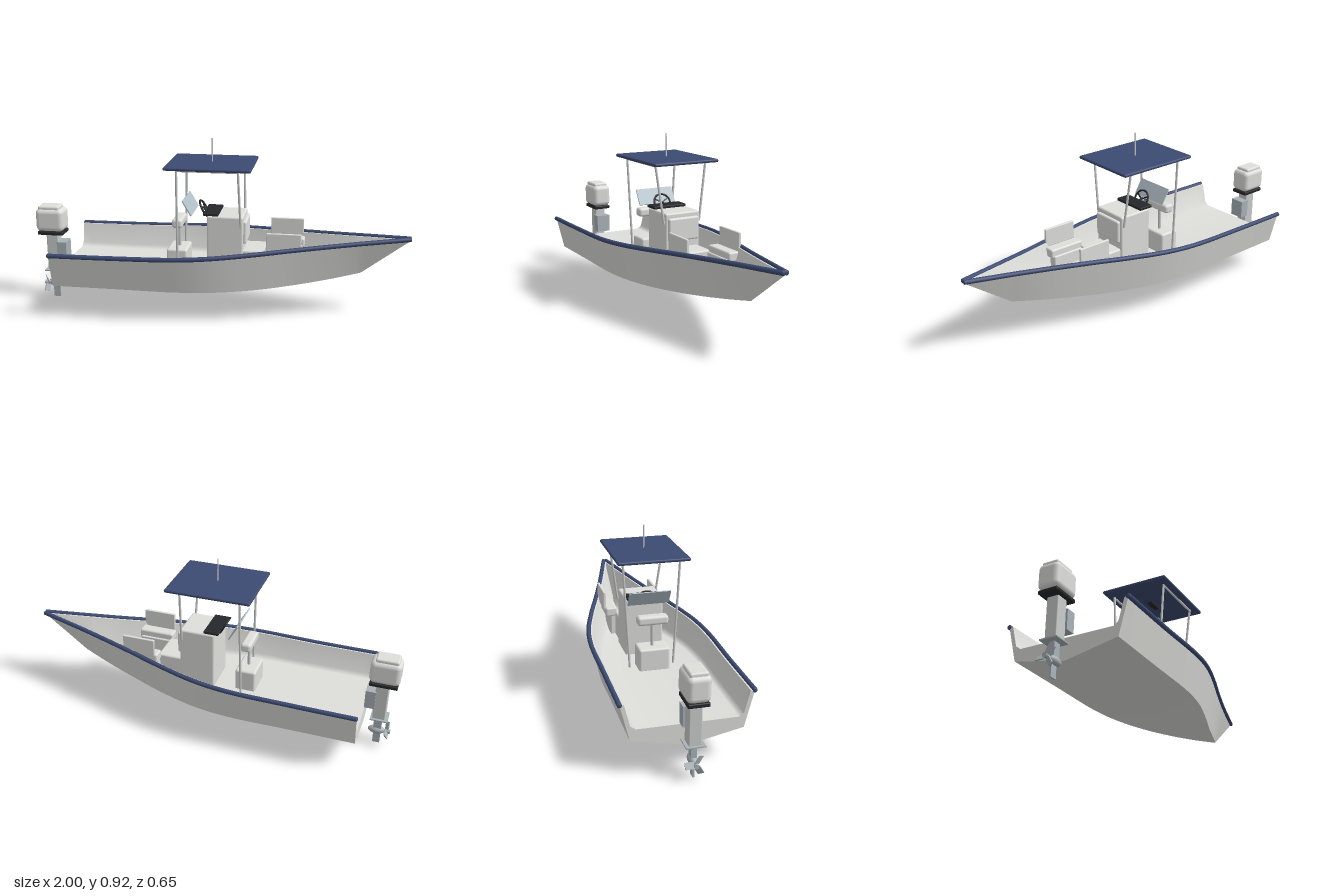
import * as THREE from 'three';
import { RoundedBoxGeometry } from 'three/addons/geometries/RoundedBoxGeometry.js';

const mat = (name, color, side = THREE.FrontSide) => {
  const m = new THREE.MeshStandardMaterial({ color, side });
  m.name = name;
  return m;
};

// Surface through rows of points (each row has the same number of points)
function loft(rows) {
  const n = rows[0].length, pos = [], idx = [];
  rows.forEach(r => r.forEach(p => pos.push(p.x, p.y, p.z)));
  for (let i = 0; i < rows.length - 1; i++) {
    for (let j = 0; j < n - 1; j++) {
      const a = i * n + j, b = a + 1, c = a + n, d = c + 1;
      idx.push(a, c, b, b, c, d);
    }
  }
  const g = new THREE.BufferGeometry();
  g.setAttribute('position', new THREE.Float32BufferAttribute(pos, 3));
  g.setIndex(idx);
  g.computeVertexNormals();
  return g;
}

export function createModel() {
  const model = new THREE.Group();
  model.name = 'motorBoat';
  const hullWhite = mat('hullWhite', 0xdededb, THREE.DoubleSide);
  const white = mat('fittingWhite', 0xdededb);
  const navy = mat('navy', 0x3d4b72);
  const black = mat('black', 0x26272a);
  const metal = mat('metal', 0xcacccc);
  const glass = mat('glass', 0xb2c1c9);
  const steel = mat('driveGrey', 0xa9b3b8);

  const add = (name, geo, material, x = 0, y = 0, z = 0, parent = model) => {
    const m = new THREE.Mesh(geo, material);
    m.name = name;
    m.position.set(x, y, z);
    parent.add(m);
    return m;
  };
  // Box given by its extents, with rounded edges when r > 0
  const box = (name, material, x0, x1, y0, y1, z0, z1, r = 0) => {
    const s = [x1 - x0, y1 - y0, z1 - z0];
    const geo = r ? new RoundedBoxGeometry(...s, 3, r) : new THREE.BoxGeometry(...s);
    return add(name, geo, material, (x0 + x1) / 2, (y0 + y1) / 2, (z0 + z1) / 2);
  };
  const rod = (name, material, a, b, r) => {
    const p = new THREE.Vector3(...a), q = new THREE.Vector3(...b);
    const m = add(name, new THREE.CylinderGeometry(r, r, p.distanceTo(q), 12), material);
    m.position.copy(p).add(q).multiplyScalar(0.5);
    m.quaternion.setFromUnitVectors(new THREE.Vector3(0, 1, 0), q.sub(p).normalize());
    return m;
  };
  const V = (x, y, z) => new THREE.Vector3(x, y, z);

  // Hull stations: x, gunwale y, gunwale z, chine y, chine z, keel y
  const stations = [
    [-0.84, 0.345, 0.31, 0.165, 0.265, 0.11],
    [-0.5, 0.348, 0.31, 0.165, 0.265, 0.11],
    [-0.18, 0.356, 0.31, 0.165, 0.265, 0.11],
    [0, 0.365, 0.289, 0.166, 0.243, 0.11],
    [0.2, 0.377, 0.237, 0.17, 0.188, 0.122],
    [0.4, 0.39, 0.174, 0.183, 0.12, 0.157],
    [0.6, 0.402, 0.114, 0.207, 0.055, 0.197],
    [0.75, 0.411, 0.072, 0.23, 0.003, 0.229],
  ];
  const STEPS = 42, STEM = 8;
  const line = (pick, tip) => {
    const pts = new THREE.CatmullRomCurve3(stations.map(pick)).getPoints(STEPS);
    const end = pts[STEPS];
    for (let i = 1; i <= STEM; i++) pts.push(end.clone().lerp(tip, i / STEM));
    return pts;
  };
  const top = line(s => V(s[0], s[1], s[2]), V(0.994, 0.424, 0.008));
  const chine = line(s => V(s[0], s[3], s[4]), V(0.994, 0.415, 0.002));
  const keel = line(s => V(s[0], s[5], 0), V(0.994, 0.414, 0));

  // Inner liner: wall top, wall foot, deck edge, deck centre
  const DECK = 0.22;
  const inner = top.map((t, i) => {
    const c = chine[i];
    const y = Math.min(Math.max(DECK, c.y + 0.012), t.y - 0.004);
    const at = h => {
      const p = c.clone().lerp(t, (h - c.y) / (t.y - c.y));
      p.z = Math.max(p.z - 0.02, 0);
      return p;
    };
    const foot = at(y), rim = at(t.y);
    const low = at(y + (t.y - y) * 0.15);
    return [rim, low, V(foot.x, y, Math.max(foot.z - 0.02, 0)), V(foot.x, y, 0)];
  });
  const flip = (p, s) => V(p.x, p.y, p.z * s);

  for (const [s, side] of [[1, 'front'], [-1, 'back']]) {
    const rows = f => top.map((_, i) => {
      const r = f(i).map(p => flip(p, s));
      return s > 0 ? r : r.reverse();
    });
    add(side + 'HullBottom', loft(rows(i => [keel[i], chine[i]])), hullWhite);
    add(side + 'HullSide', loft(rows(i => [chine[i], top[i]])), hullWhite);
    add(side + 'HullRim', loft(rows(i => [top[i], inner[i][0]])), hullWhite);
    add(side + 'DeckLiner', loft(rows(i => inner[i])), hullWhite);
    // Rubbing strake along the gunwale
    const path = new THREE.CatmullRomCurve3(top.map(p => flip(p, s)));
    add(side + 'Gunwale', new THREE.TubeGeometry(path, 90, 0.012, 10), navy);
    for (const p of [top[0], top[top.length - 1]]) {
      add(side + 'GunwaleEnd', new THREE.SphereGeometry(0.0119, 10, 8), navy, p.x, p.y, p.z * s)
        .scale.x = 0.5;
    }
  }

  // Low transom closing the space between hull and deck at the stern
  const half = [chine[0], top[0], inner[0][0], inner[0][1], inner[0][2]];
  const outline = [keel[0], ...half, ...half.map(p => flip(p, -1)).reverse()];
  const transom = new THREE.ShapeGeometry(new THREE.Shape(outline.map(p => new THREE.Vector2(p.z, p.y))));
  add('transom', transom.rotateY(-Math.PI / 2), hullWhite, -0.84);

  // Console, dash, wheel and windscreen
  box('console', white, -0.05, 0.14, DECK - 0.01, 0.53, -0.1, 0.1, 0.01);
  box('consoleFrontCushion', white, 0.13, 0.157, 0.385, 0.505, -0.088, 0.088, 0.01);
  box('consoleFrontSeat', white, 0.13, 0.27, DECK - 0.01, 0.35, -0.09, 0.09, 0.01);
  box('dash', black, -0.07, 0.01, 0.529, 0.544, -0.095, 0.095, 0.004);
  const wheel = new THREE.Group();
  wheel.name = 'steeringWheel';
  wheel.position.set(-0.078, 0.545, 0);
  wheel.rotation.z = 0.5;
  model.add(wheel);
  add('wheelRim', new THREE.TorusGeometry(0.047, 0.005, 10, 32).rotateY(Math.PI / 2), black, 0, 0, 0, wheel);
  for (let i = 0; i < 3; i++) {
    const spoke = new THREE.BoxGeometry(0.005, 0.047, 0.007).translate(0, -0.0235, 0);
    add('wheelSpoke', spoke, black, 0, 0, 0, wheel).rotation.x = i * Math.PI * 2 / 3;
  }
  rod('wheelColumn', black, [-0.078, 0.545, 0], [-0.045, 0.525, 0], 0.007);
  add('windscreen', new THREE.BoxGeometry(0.006, 0.09, 0.216), glass, -0.153, 0.568, 0).rotation.z = 0.53;

  // Helm seat
  box('helmSeatBase', white, -0.27, -0.16, DECK - 0.01, 0.335, -0.08, 0.08, 0.012);
  box('helmSeatBack', white, -0.24, -0.185, 0.45, 0.498, -0.08, 0.08, 0.015);
  rod('helmSeatPost', metal, [-0.212, 0.33, 0], [-0.212, 0.46, 0], 0.008);

  // Canopy and its frame
  box('canopy', navy, -0.26, 0.187, 0.781, 0.798, -0.185, 0.185, 0.008);
  rod('antenna', metal, [-0.035, 0.79, 0], [-0.035, 0.92, 0], 0.003);
  box('canopyLight', black, -0.075, 0.005, 0.768, 0.776, -0.014, 0.014);
  rod('canopyLightStem', black, [-0.035, 0.77, 0], [-0.035, 0.785, 0], 0.006);

  for (const s of [1, -1]) {
    rod('canopyRearPost', metal, [-0.197, 0.782, 0.147 * s], [-0.203, DECK, 0.115 * s], 0.006);
    rod('canopyFrontPost', metal, [0.117, 0.782, 0.147 * s], [0.128, 0.475, 0.104 * s], 0.006);
    rod('canopyRail', metal, [-0.2, 0.775, 0.147 * s], [0.12, 0.775, 0.147 * s], 0.006);
    // Bow seats
    const pair = (z0, z1) => s > 0 ? [z0, z1] : [-z1, -z0];
    box('bowSeatBase', white, 0.26, 0.44, DECK - 0.01, 0.34, ...pair(0.07, 0.115), 0.006);
    box('bowSeatCushion', white, 0.255, 0.45, 0.325, 0.375, ...pair(0.08, 0.143), 0.01);
    box('bowSeatBack', white, 0.265, 0.442, 0.37, 0.468, ...pair(0.141, 0.156), 0.004);
  }

  // Outboard engine
  box('engineCowl', white, -1, -0.845, 0.39, 0.515, -0.055, 0.055, 0.026);
  box('engineCowlCap', white, -0.985, -0.868, 0.495, 0.53, -0.042, 0.042, 0.01);
  box('engineCollar', black, -0.992, -0.85, 0.37, 0.39, -0.05, 0.05, 0.006);
  box('engineLeg', metal, -0.95, -0.885, 0.165, 0.375, -0.03, 0.03, 0.005);
  box('engineBracket', steel, -0.89, -0.838, 0.23, 0.33, -0.04, 0.04);
  box('cavitationPlate', steel, -0.965, -0.875, 0.162, 0.168, -0.045, 0.045);
  box('lowerLeg', steel, -0.935, -0.895, 0.07, 0.165, -0.013, 0.013);
  box('skeg', steel, -0.935, -0.898, 0, 0.075, -0.004, 0.004);
  add('gearcase', new THREE.SphereGeometry(0.022, 20, 14), steel, -0.912, 0.08, 0).scale.x = 2;
  const prop = new THREE.Group();
  prop.name = 'propeller';
  prop.position.set(-0.965, 0.08, 0);
  model.add(prop);
  add('propellerHub', new THREE.CylinderGeometry(0.012, 0.009, 0.035, 14).rotateZ(Math.PI / 2), steel, 0, 0, 0, prop);
  for (let i = 0; i < 3; i++) {
    const blade = new THREE.BoxGeometry(0.005, 0.042, 0.032).rotateY(0.6).translate(0, 0.029, 0);
    add('propellerBlade', blade, steel, 0, 0, 0, prop).rotation.x = -Math.PI / 2 + i * Math.PI * 2 / 3;
  }
  return model;
}
